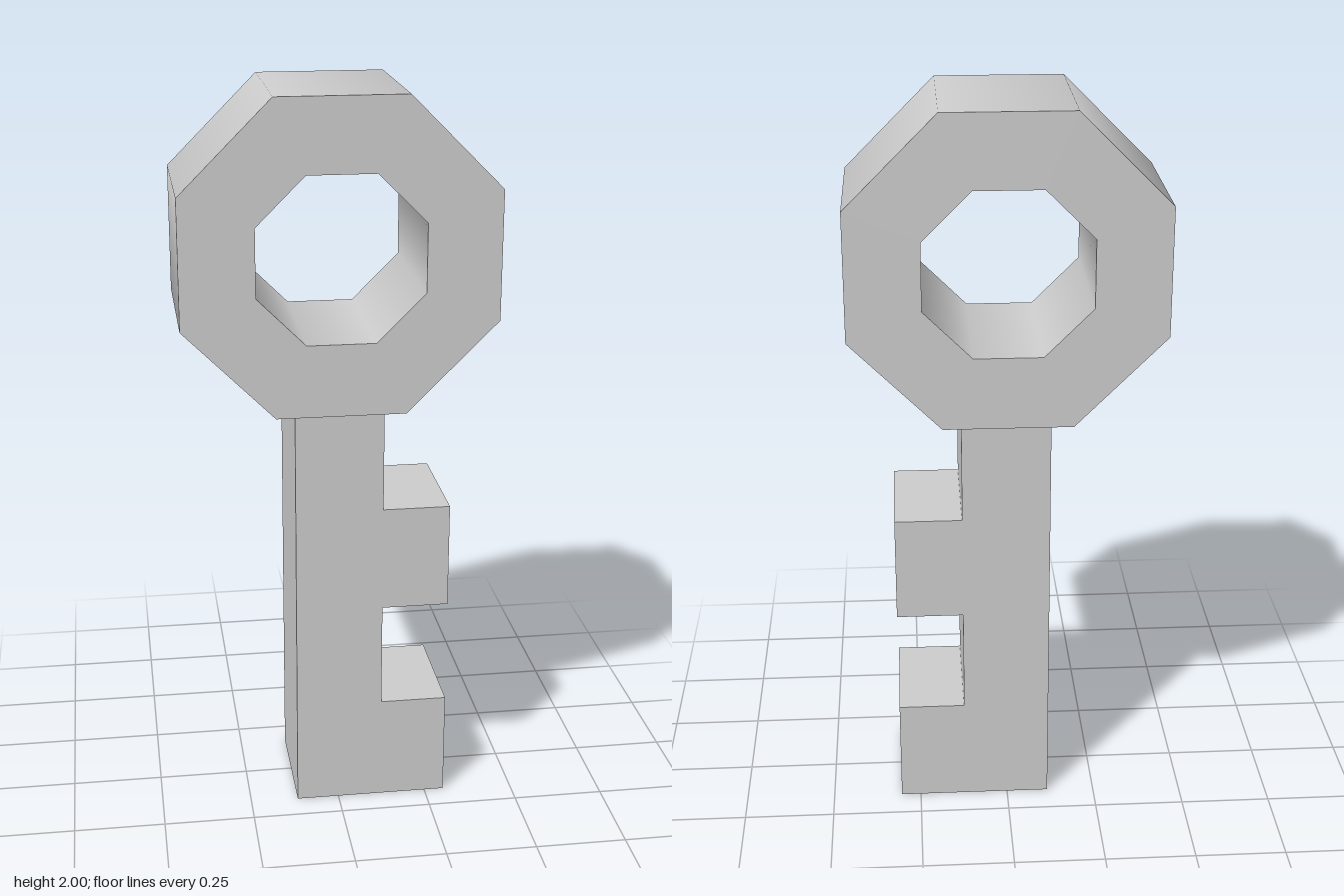
import * as THREE from 'three';
import { mergeGeometries } from 'three/addons/utils/BufferGeometryUtils.js';

const material = new THREE.MeshStandardMaterial({ color: 0xcccccc });

// Octagonal ring: walls are smooth around the axis, rims stay sharp.
function ringGeometry(outerFlat, innerFlat, depth) {
  const outer = outerFlat / Math.cos(Math.PI / 8);
  const inner = innerFlat / Math.cos(Math.PI / 8);
  const h = depth / 2;
  const profile = [[outer, -h], [outer, h], [inner, h], [inner, -h], [outer, -h]]
    .map(([r, y]) => new THREE.Vector2(r, y));
  const bands = profile.slice(1).map((p, i) =>
    new THREE.LatheGeometry([profile[i], p], 8, Math.PI / 8));
  return mergeGeometries(bands).rotateX(Math.PI / 2);
}

// Shaft and its two teeth as one extruded outline.
function shaftGeometry() {
  const left = -0.117, right = 0.122, tip = 0.305, top = 1.17;
  const outline = [[left, 0], [tip, 0], [tip, 0.295], [right, 0.295], [right, 0.588],
    [tip, 0.588], [tip, 0.88], [right, 0.88], [right, top], [left, top]];
  const shape = new THREE.Shape(outline.map(([x, y]) => new THREE.Vector2(x, y)));
  return new THREE.ExtrudeGeometry(shape, { depth: 0.333, bevelEnabled: false })
    .translate(0, 0, -0.164);
}

export function createModel() {
  const key = new THREE.Group();
  key.name = 'key';

  const bow = new THREE.Mesh(ringGeometry(0.415, 0.22, 0.434), material);
  bow.name = 'bowRing';
  bow.position.y = 1.585;

  const shaft = new THREE.Mesh(shaftGeometry(), material);
  shaft.name = 'toothedShaft';

  key.add(bow, shaft);
  return key;
}
